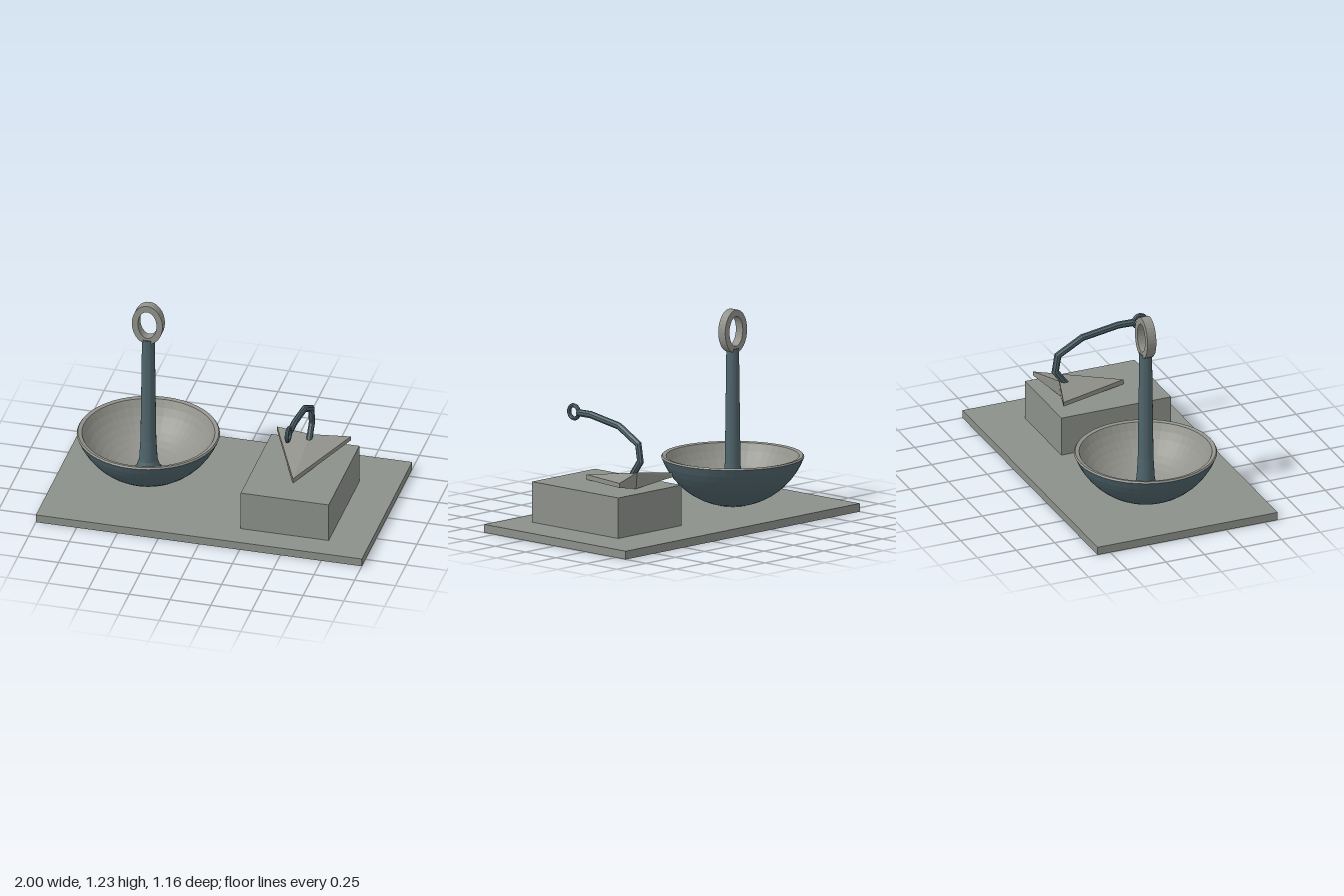
import * as THREE from 'three';
import { ConvexGeometry } from 'three/addons/geometries/ConvexGeometry.js';

const mat = (name, color) => {
  const m = new THREE.MeshStandardMaterial({ color, flatShading: true });
  m.name = name;
  return m;
};
const v2 = (x, y) => new THREE.Vector2(x, y);

// Points on a circular arc (radius R, centre on the axis at height cy) between two angles from straight down
function arc(R, cy, a0, a1, steps) {
  return Array.from({ length: steps + 1 }, (_, i) => {
    const a = a0 + (a1 - a0) * i / steps;
    return v2(Math.max(0, R * Math.sin(a)), cy - R * Math.cos(a));
  });
}

// Sweep an octagonal section along a path in the z/y plane, with mitred bends
function sweep(path, halfX, halfN) {
  const pos = [], idx = [], n = 8;
  path.forEach((p, i) => {
    const d0 = v2().subVectors(p, path[Math.max(i - 1, 0)]).normalize();
    const d1 = v2().subVectors(path[Math.min(i + 1, path.length - 1)], p).normalize();
    const t = d0.clone().add(d1).normalize();
    const ref = i ? d0 : d1;
    const miter = 1 / t.dot(ref);
    for (let k = 0; k < n; k++) {
      const a = (k + 0.5) / n * Math.PI * 2;
      const s = 1 / Math.cos(Math.PI / n);
      const off = halfN * s * Math.sin(a) * miter;
      pos.push(halfX * s * Math.cos(a), p.y + t.x * off, p.x - t.y * off);
    }
  });
  for (let i = 0; i < path.length - 1; i++) {
    for (let k = 0; k < n; k++) {
      const a = i * n + k, b = i * n + (k + 1) % n;
      idx.push(a, b, a + n, b, b + n, a + n);
    }
  }
  const last = (path.length - 1) * n;
  for (let k = 1; k < n - 1; k++) {
    idx.push(0, k + 1, k, last, last + k, last + k + 1);
  }
  const g = new THREE.BufferGeometry();
  g.setAttribute('position', new THREE.Float32BufferAttribute(pos, 3));
  g.setIndex(idx);
  g.computeVertexNormals();
  return g;
}

export function createModel() {
  const root = new THREE.Group();
  const stone = mat('stone grey', 0x8c908a);
  const pale = mat('pale metal', 0x92928c);
  const steel = mat('blue steel', 0x4f656c);

  const add = (parent, name, geometry, material, x = 0, y = 0, z = 0) => {
    const m = new THREE.Mesh(geometry, material);
    m.name = name;
    m.position.set(x, y, z);
    parent.add(m);
    return m;
  };

  // Plinth and raised block
  add(root, 'basePlate', new THREE.BoxGeometry(2, 0.05, 1.165), stone, 0, 0.025, 0);
  add(root, 'block', new THREE.BoxGeometry(0.54, 0.245, 0.71), stone, 0.485, 0.1725, 0.07);

  // Mushroom anchor: bowl, stem and oval eye
  const mushroom = new THREE.Group();
  mushroom.name = 'mushroomAnchor';
  mushroom.position.set(-0.475, 0, -0.042);
  root.add(mushroom);

  const R = 0.453, cy = 0.492;
  const outer = [v2(0, 0.051), ...arc(R, cy, Math.asin(0.1 / R), Math.asin(0.425 / R), 9)];
  add(mushroom, 'bowlOutside', new THREE.LatheGeometry(outer, 48), steel);

  const inner = [v2(0.425, 0.335), v2(0.418, 0.345), ...arc(0.43, 0.51, Math.asin(0.395 / 0.43), 0, 10)];
  add(mushroom, 'bowlInside', new THREE.LatheGeometry(inner, 48), pale);

  const stem = [[0.092, 0.08], [0.07, 0.115], [0.055, 0.16], [0.047, 0.3], [0.038, 0.99], [0, 0.99]];
  add(mushroom, 'stem', new THREE.LatheGeometry(stem.map(p => v2(...p)), 20), steel);

  const eye = new THREE.Shape().absellipse(0, 0, 0.094, 0.13, 0, Math.PI * 2);
  eye.holes.push(new THREE.Path().absellipse(0, 0, 0.057, 0.09, 0, Math.PI * 2));
  const eyeGeo = new THREE.ExtrudeGeometry(eye, { depth: 0.057, bevelEnabled: false, curveSegments: 16 });
  add(mushroom, 'ovalEye', eyeGeo, pale, 0, 1.095, -0.0285);

  // Plough anchor: two mirrored blades, bent shank and ring
  const plough = new THREE.Group();
  plough.name = 'ploughAnchor';
  plough.position.x = 0.485;
  root.add(plough);

  for (const s of [-1, 1]) {
    const blade = [
      [0, 0.325, 0.235], [0, 0.295, 0.235],
      [0.226 * s, 0.372, -0.252], [0.226 * s, 0.345, -0.252],
      [0, 0.395, -0.18], [0, 0.295, -0.172],
    ].map(p => new THREE.Vector3(...p));
    add(plough, s > 0 ? 'leftBlade' : 'rightBlade', new ConvexGeometry(blade), pale);
  }

  const path = [[-0.14, 0.372], [-0.207, 0.465], [-0.19, 0.568], [-0.033, 0.655], [0.2, 0.692], [0.305, 0.69]];
  add(plough, 'shank', sweep(path.map(p => v2(...p)), 0.017, 0.02), steel);

  const ring = add(plough, 'shankRing', new THREE.TorusGeometry(0.0395, 0.0125, 8, 24), steel, 0, 0.69, 0.34);
  ring.rotation.y = Math.PI / 2;

  return root;
}
